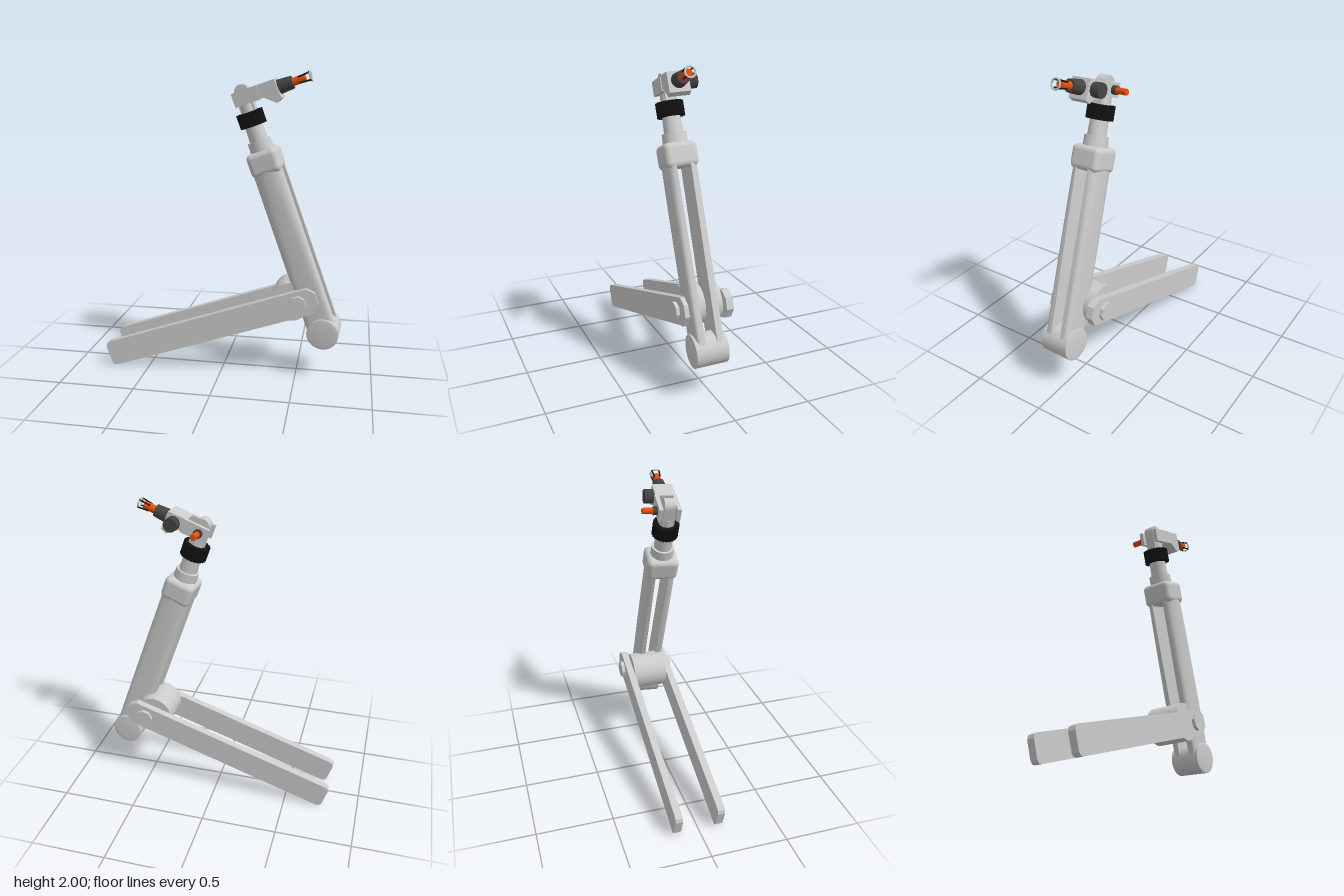
import * as THREE from 'three';
import { RoundedBoxGeometry } from 'three/addons/geometries/RoundedBoxGeometry.js';

const paint = (color, flat = false) =>
  new THREE.MeshStandardMaterial({ color, flatShading: flat });
const grey = paint(0xcccccc), greyFlat = paint(0xcccccc, true);
const black = paint(0x111111, true), dark = paint(0x444444), orange = paint(0xe8500c);

function add(parent, name, geometry, material, x = 0, y = 0, z = 0) {
  const mesh = new THREE.Mesh(geometry, material);
  mesh.name = name;
  mesh.position.set(x, y, z);
  parent.add(mesh);
  return mesh;
}

// Cylinders lying along y, z and x
const cylY = (r0, r1, h, n = 32) => new THREE.CylinderGeometry(r1, r0, h, n);
const cylZ = (r, h, n = 32) => new THREE.CylinderGeometry(r, r, h, n).rotateX(Math.PI / 2);
const cylX = (r0, r1, h, n = 24) => new THREE.CylinderGeometry(r1, r0, h, n).rotateZ(-Math.PI / 2);

function slab(points, depth) {
  const shape = new THREE.Shape(points.map(p => new THREE.Vector2(...p)));
  return new THREE.ExtrudeGeometry(shape, { depth, bevelEnabled: false }).translate(0, 0, -depth / 2);
}

// Half-round beam section, boxier at the bottom than at the top
function beamGeometry(side) {
  const rows = 10, n = 16, pos = [], index = [];
  for (let i = 0; i <= rows; i++) {
    const t = i / rows;
    const power = 2 / THREE.MathUtils.lerp(5, 2.2, t);
    const inner = THREE.MathUtils.lerp(0.037, 0.045, t);
    const bulge = THREE.MathUtils.lerp(0.053, 0.057, t);
    for (let j = 0; j <= n; j++) {
      const a = Math.PI * j / n, c = Math.cos(a), s = Math.max(0, Math.sin(a));
      pos.push(0.096 * Math.sign(c) * Math.abs(c) ** power, 0.03 + 1.11 * t,
        side * (inner + bulge * s ** power));
    }
  }
  // Outer skin, then the flat inner face closing first and last columns
  const w = n + 1;
  const quad = (a, b, c, d) => side > 0
    ? index.push(a, d, b, b, d, c) : index.push(a, b, d, b, c, d);
  for (let i = 0; i < rows; i++)
    for (let j = 0; j < n; j++)
      quad(i * w + j, i * w + j + 1, (i + 1) * w + j + 1, (i + 1) * w + j);
  const base = pos.length / 3;
  for (let i = 0; i <= rows; i++)
    for (const j of [n, 0]) pos.push(...pos.slice((i * w + j) * 3, (i * w + j) * 3 + 3));
  for (let i = 0; i < rows; i++) {
    const k = base + i * 2;
    quad(k, k + 1, k + 3, k + 2);
  }
  const g = new THREE.BufferGeometry();
  g.setAttribute('position', new THREE.Float32BufferAttribute(pos, 3));
  g.setIndex(index);
  g.computeVertexNormals();
  return g;
}

function buildBase(model) {
  const base = new THREE.Group();
  base.name = 'base';
  base.position.set(0.51, 0.52, 0);
  base.rotation.z = THREE.MathUtils.degToRad(19);
  model.add(base);
  const outline = [[-1.362, 0.055], [-1.362, -0.06], [-1.352, -0.08], [-1.33, -0.087],
    [0.075, -0.087], [0.13, -0.035], [0.13, 0.04], [0.085, 0.085], [-1.325, 0.085], [-1.35, 0.077]];
  for (const [name, z, s] of [['front', 0.137, 1], ['back', -0.143, -1]]) {
    add(base, name + 'Plate', slab(outline, 0.048), grey, 0, 0, z);
    add(base, name + 'Bolt', cylZ(0.06, 0.024, 8).rotateZ(Math.PI / 8), greyFlat, 0, 0, z + s * 0.035);
  }
  // Pivot drum held between the plates
  add(model, 'pivotDrum', cylZ(0.13, 0.235, 18), grey, 0.46, 0.52, -0.003);
}

function buildHead(arm) {
  const head = new THREE.Group();
  head.name = 'head';
  arm.add(head);
  // Block with a sloped underside, carried on two fork arms
  add(head, 'headBlock', slab([[0.1, 1.65], [0.1, 1.566], [0.128, 1.566], [0.197, 1.508],
    [0.235, 1.525], [0.227, 1.65]], 0.132), grey);
  for (const s of [1, -1])
    add(head, 'forkArm', new THREE.BoxGeometry(0.17, 0.09, 0.026), grey, 0.028, 1.606, s * 0.058);
  // Rounded tab of the neck between the fork arms
  add(head, 'hingeTab', new THREE.BoxGeometry(0.096, 0.14, 0.07), grey, 0.003, 1.57);
  add(head, 'hingeRound', cylZ(0.048, 0.07, 24), grey, 0.003, 1.641);
  // Hinge pin and side knob at the back
  add(head, 'pinCollar', cylZ(0.028, 0.03, 16), dark, 0, 1.607, -0.084);
  add(head, 'hingePin', cylZ(0.02, 0.075, 16), orange, 0, 1.607, -0.132);
  add(head, 'sideKnob', cylZ(0.046, 0.06, 10), dark, 0.173, 1.594, -0.095);
  // Tool holder, sleeve and claw
  const y = 1.593;
  add(head, 'toolHolder', cylX(0.047, 0.04, 0.095), dark, 0.273, y);
  add(head, 'toolSleeve', cylX(0.026, 0.025, 0.085), orange, 0.36, y);
  for (let i = 0; i < 4; i++) {
    const a = Math.PI / 4 + i * Math.PI / 2, c = Math.cos(a), s = Math.sin(a);
    const path = new THREE.CatmullRomCurve3([[0.36, 0.026], [0.405, 0.031], [0.438, 0.034]]
      .map(([x, r]) => new THREE.Vector3(x, y + r * c, r * s)));
    add(head, 'clawProng', new THREE.TubeGeometry(path, 6, 0.005, 6), black);
  }
  add(head, 'clawRing', new THREE.TorusGeometry(0.031, 0.006, 8, 28).rotateY(Math.PI / 2), grey, 0.435, y);
}

function buildArm(model) {
  // Arm frame: origin at the elbow, y along the arm
  const yAxis = new THREE.Vector3(-0.337, 0.941, 0.023).normalize();
  const xAxis = yAxis.clone().cross(new THREE.Vector3(-0.07, -0.04, 1)).normalize();
  const zAxis = xAxis.clone().cross(yAxis);
  const arm = new THREE.Group();
  arm.name = 'arm';
  arm.quaternion.setFromRotationMatrix(new THREE.Matrix4().makeBasis(xAxis, yAxis, zAxis));
  arm.position.set(0.68, 0.32, 0.03);
  model.add(arm);

  // Elbow barrel with shallow domed ends
  add(arm, 'elbow', cylZ(0.104, 0.204, 40), grey);
  for (const s of [1, -1]) {
    const dome = new THREE.SphereGeometry(0.104, 40, 10, 0, Math.PI * 2, 0, Math.PI / 2)
      .rotateX(s * Math.PI / 2).scale(1, 1, 0.07);
    add(arm, 'elbowCap', dome, grey, 0, 0, s * 0.102);
    add(arm, 'beam', beamGeometry(s), grey);
  }
  // Collar, step ring, rod and neck
  add(arm, 'collar', new RoundedBoxGeometry(0.2, 0.155, 0.212, 4, 0.035), grey, 0, 1.182);
  add(arm, 'stepRing', cylY(0.078, 0.075, 0.08), grey, 0, 1.28);
  add(arm, 'rod', cylY(0.06, 0.056, 0.13), grey, 0, 1.375);
  add(arm, 'neck', cylY(0.052, 0.05, 0.06), grey, 0, 1.53);

  // Knurled grip ring
  const teeth = 24, points = [];
  for (let i = 0; i < teeth * 4; i++) {
    const a = i / (teeth * 4) * Math.PI * 2, r = i % 4 < 2 ? 0.086 : 0.08;
    points.push([r * Math.cos(a), r * Math.sin(a)]);
  }
  add(arm, 'gripRing', slab(points, 0.092).rotateX(Math.PI / 2), black, 0, 1.465);
  buildHead(arm);
}

export function createModel() {
  const model = new THREE.Group();
  model.name = 'articulatedArm';
  buildBase(model);
  buildArm(model);
  return model;
}
